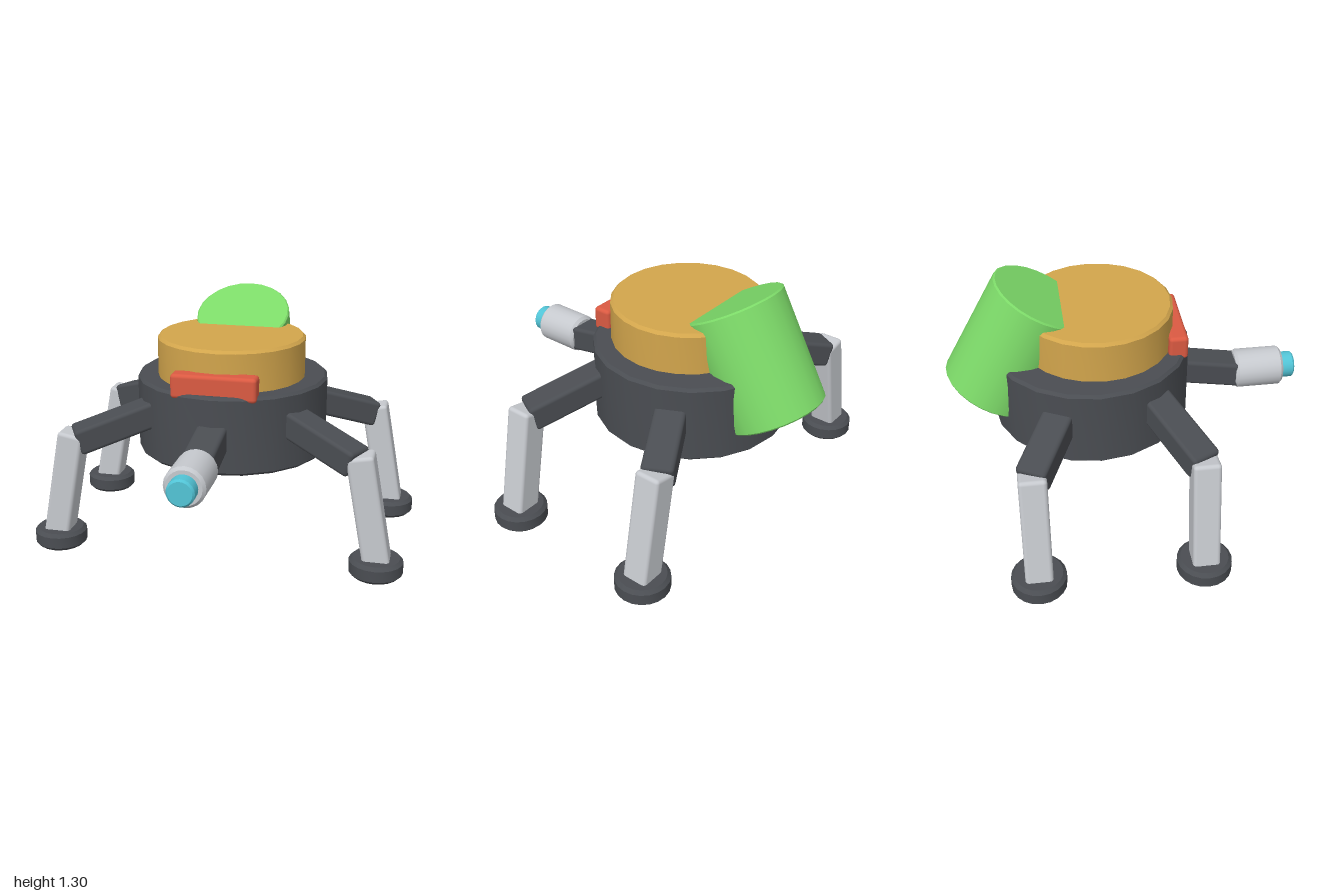
import * as THREE from 'three';
import { toCreasedNormals } from 'three/addons/utils/BufferGeometryUtils.js';
import { RoundedBoxGeometry } from 'three/addons/geometries/RoundedBoxGeometry.js';

function material(name, color) {
  const m = new THREE.MeshStandardMaterial({ color });
  m.name = name;
  return m;
}

export function createModel() {
  const dark = material('dark grey', 0x4a4d52);
  const gold = material('gold', 0xd2a54c);
  const green = material('green', 0x7cd968);
  const red = material('red', 0xdb5a42);
  const cyan = material('cyan', 0x52c4d6);
  const silver = material('silver', 0xc6c9ce);

  const model = new THREE.Group();
  model.name = 'walker';

  function add(parent, name, geometry, mat, x = 0, y = 0, z = 0) {
    const mesh = new THREE.Mesh(geometry, mat);
    mesh.name = name;
    mesh.position.set(x, y, z);
    parent.add(mesh);
    return mesh;
  }

  // Upright drum with chamfered rims, centred on its own origin
  function drum(radius, height, bevel, sides) {
    const h = height / 2;
    const profile = [
      [0, -h], [radius - bevel, -h], [radius, -h + bevel],
      [radius, h - bevel], [radius - bevel, h], [0, h],
    ].map(([r, y]) => new THREE.Vector2(r, y));
    return toCreasedNormals(new THREE.LatheGeometry(profile, sides), 0.6);
  }

  // Rounded beam running from one point to another
  function beam(parent, name, from, to, width, height, mat) {
    const a = new THREE.Vector3(...from), b = new THREE.Vector3(...to);
    const geometry = new RoundedBoxGeometry(width, height, a.distanceTo(b), 2, 0.02);
    const mesh = add(parent, name, geometry, mat);
    mesh.position.copy(a).add(b).multiplyScalar(0.5);
    mesh.lookAt(b);
    return mesh;
  }

  // Hull and turret
  add(model, 'hull', drum(0.52, 0.42, 0.015, 20), dark, 0, 0.69, -0.175);
  add(model, 'turret', drum(0.4, 0.26, 0.015, 24), gold, 0, 0.99, -0.142);

  // Tilted tank sunk into the back
  const tank = add(model, 'tank', drum(0.26, 0.604, 0.008, 24), green, 0, 0.91, -0.565);
  tank.rotation.x = Math.atan2(0.29, 0.53);

  // Front visor bar
  add(model, 'visor', new RoundedBoxGeometry(0.45, 0.13, 0.1, 2, 0.02), red, 0, 0.935, 0.26);

  // Front arm with barrel and lens
  const arm = new THREE.Group();
  arm.name = 'frontArm';
  model.add(arm);
  beam(arm, 'armBeam', [0, 0.705, 0.15], [0, 0.615, 0.67], 0.16, 0.14, dark);
  const barrel = add(arm, 'barrel', drum(0.105, 0.26, 0.015, 20), silver, 0, 0.625, 0.74);
  const lens = add(arm, 'lens', drum(0.07, 0.14, 0.01, 20), cyan, 0, 0.625, 0.87);
  barrel.rotation.x = lens.rotation.x = Math.PI / 2;

  // Four legs, mirrored left to right and front to back
  const midZ = -0.118;
  for (const [end, fz] of [['front', 1], ['rear', -1]]) {
    for (const [side, sx] of [['Left', 1], ['Right', -1]]) {
      const leg = new THREE.Group();
      leg.name = end + side + 'Leg';
      model.add(leg);
      const at = (x, y, dz) => [sx * x, y, midZ + fz * dz];
      beam(leg, 'thigh', at(0.3, 0.757, 0.186), at(0.745, 0.603, 0.422), 0.16, 0.14, dark);
      // The shin leans outward towards the foot
      const shin = add(leg, 'shin', new RoundedBoxGeometry(0.14, 0.62, 0.14, 2, 0.02), silver,
        ...at(0.813, 0.345, 0.42));
      shin.rotation.z = sx * 0.185;
      add(leg, 'foot', drum(0.14, 0.096, 0.018, 20), dark, ...at(0.86, 0.048, 0.42));
    }
  }
  return model;
}
